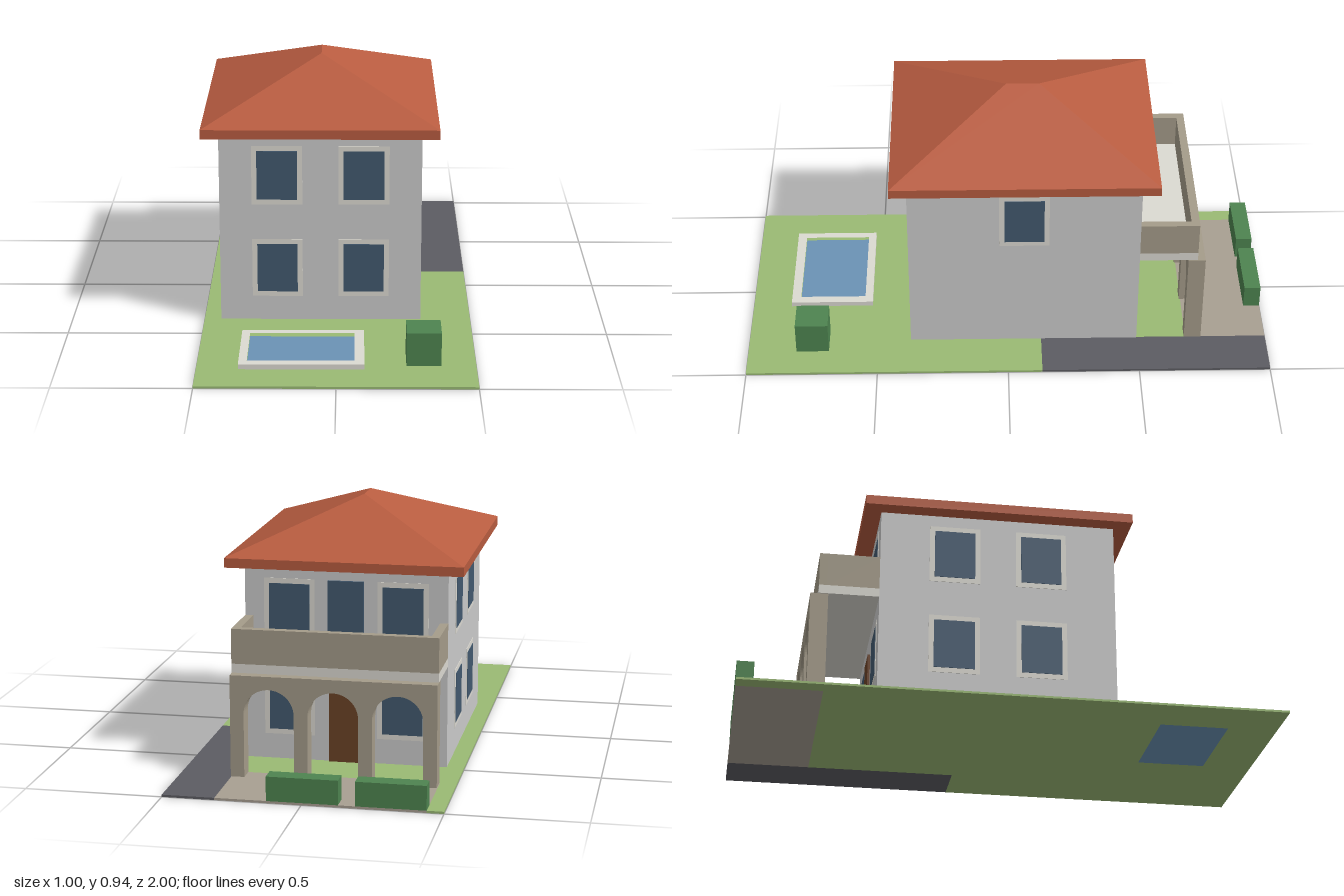
import * as THREE from 'three';

const mat = (color) => new THREE.MeshStandardMaterial({ color, flatShading: true });

export function createModel() {
  const model = new THREE.Group();
  model.name = 'villa';
  const M = {
    wall: mat(0xcccccc), roof: mat(0xb85c40), grass: mat(0x9aba74), road: mat(0x5c5c62),
    paving: mat(0xa89f92), stone: mat(0xa59c8a), trim: mat(0xdcdad2), glass: mat(0x42596f),
    hedge: mat(0x4e8450), water: mat(0x6b93b5), door: mat(0x6b4226),
  };
  const add = (name, geometry, material, parent = model) => {
    const mesh = new THREE.Mesh(geometry, material);
    mesh.name = name;
    parent.add(mesh);
    return mesh;
  };
  // Box given by its extents on each axis
  const box = (name, material, [x0, x1], [y0, y1], [z0, z1], parent) => {
    const mesh = add(name, new THREE.BoxGeometry(x1 - x0, y1 - y0, z1 - z0), material, parent);
    mesh.position.set((x0 + x1) / 2, (y0 + y1) / 2, (z0 + z1) / 2);
    return mesh;
  };
  const points = (list) => list.map(([x, y]) => new THREE.Vector2(x, y));
  // Rectangle outline in plan, with shape y = -z
  const planRect = (x0, x1, z0, z1) => points([[x0, -z0], [x1, -z0], [x1, -z1], [x0, -z1]]);
  // Flat plan shape raised from y0 to y1
  const slab = (name, material, outline, hole, y0, y1) => {
    const shape = new THREE.Shape(outline);
    shape.holes.push(new THREE.Path(hole));
    const geometry = new THREE.ExtrudeGeometry(shape, { depth: y1 - y0, bevelEnabled: false });
    geometry.rotateX(-Math.PI / 2);
    geometry.translate(0, y0, 0);
    return add(name, geometry, material);
  };

  // Plot: lawn, driveway and patio side by side
  const G = 0.008;
  const basin = planRect(-0.32, 0.065, 0.56, 0.815);
  slab('lawn', M.grass, points([
    [-0.5, -1], [0.5, -1], [0.5, 0.13], [0.31, 0.13],
    [0.31, 0.69], [-0.44, 0.69], [-0.44, 1], [-0.5, 1],
  ]), basin, 0, G);
  box('driveway', M.road, [0.31, 0.5], [0, G], [-1, -0.13]);
  box('patio', M.paving, [-0.44, 0.31], [0, G], [-1, -0.69]);

  // Pool
  slab('poolRim', M.trim, planRect(-0.35, 0.1, 0.53, 0.85), basin, G, 0.027);
  box('poolWater', M.water, [-0.32, 0.065], [0, 0.014], [0.56, 0.815]);

  // Planting
  box('bush', M.hedge, [0.25, 0.375], [G, 0.133], [0.69, 0.815]);
  box('hedge', M.hedge, [-0.44, -0.19], [G, 0.097], [-1, -0.937]);
  box('hedge', M.hedge, [-0.13, 0.125], [G, 0.097], [-1, -0.937]);

  // House body
  const CX = -0.0625, CZ = -0.0625;
  box('houseWalls', M.wall, [-0.4375, 0.3125], [G, 0.735], [-0.5, 0.375]);

  // Hipped roof: eaves band, then a box whose top is pinched into a ridge
  box('roofEaves', M.roof, [-0.5, 0.375], [0.735, 0.77], [-0.5625, 0.4375]);
  const hip = new THREE.BoxGeometry(0.875, 0.175, 1);
  const p = hip.attributes.position;
  for (let i = 0; i < p.count; i++) {
    if (p.getY(i) > 0) p.setXYZ(i, 0, p.getY(i), Math.sign(p.getZ(i)) * 0.0625);
  }
  hip.computeVertexNormals();
  add('hippedRoof', hip, M.roof).position.set(CX, 0.8575, CZ);

  // Windows: trim panel with glass, facing outward after turning
  const addWindow = (x, y, z, turn) => {
    const group = new THREE.Group();
    group.name = 'window';
    box('windowFrame', M.trim, [-0.094, 0.094], [-0.113, 0.113], [-0.004, 0.002], group);
    box('windowGlass', M.glass, [-0.075, 0.075], [-0.094, 0.094], [-0.004, 0.004], group);
    group.position.set(x, y, z);
    group.rotation.y = turn;
    model.add(group);
  };
  const LOW = 0.215, HIGH = 0.578;
  for (const y of [LOW, HIGH]) {
    for (const side of [-1, 1]) {
      addWindow(CX + side * 0.161, y, 0.375, 0);
      addWindow(-0.4375, y, CZ + side * 0.161, -Math.PI / 2);
      addWindow(CX + side * 0.21, y, -0.5, Math.PI);
    }
  }
  addWindow(0.3125, HIGH, CZ, Math.PI / 2);

  // Back doors
  box('entranceDoor', M.door, [CX - 0.0625, CX + 0.0625], [G, 0.297], [-0.509, -0.495]);
  box('balconyDoor', M.glass, [CX - 0.066, CX + 0.066], [0.42, 0.69], [-0.509, -0.495]);

  // Balcony slab and parapet
  const B = 0.03;
  box('balconyFloor', M.trim, [-0.4375, 0.3125], [0.387, 0.42], [-0.72, -0.5]);
  box('parapetBack', M.stone, [-0.4375, 0.3125], [0.42, 0.548], [-0.72, -0.69]);
  box('parapetRight', M.stone, [-0.4375, -0.4375 + B], [0.42, 0.548], [-0.69, -0.5]);
  box('parapetLeft', M.stone, [0.3125 - B, 0.3125], [0.42, 0.548], [-0.69, -0.5]);

  // Arcade: wall outline running up and over three round arches
  const pier = 0.05, span = (0.75 - 4 * pier) / 3, spring = 0.245;
  const arcade = new THREE.Shape();
  arcade.moveTo(-0.4375, G);
  for (let i = 0; i < 3; i++) {
    const x0 = -0.4375 + pier + i * (span + pier);
    arcade.lineTo(x0, G);
    arcade.lineTo(x0, spring);
    arcade.absarc(x0 + span / 2, spring, span / 2, Math.PI, 0, true);
    arcade.lineTo(x0 + span, G);
  }
  arcade.lineTo(0.3125, G);
  arcade.lineTo(0.3125, 0.385);
  arcade.lineTo(-0.4375, 0.385);
  const arcadeGeometry = new THREE.ExtrudeGeometry(arcade, { depth: 0.065, bevelEnabled: false, curveSegments: 16 });
  add('arcade', arcadeGeometry, M.stone).position.z = -0.75;

  return model;
}
